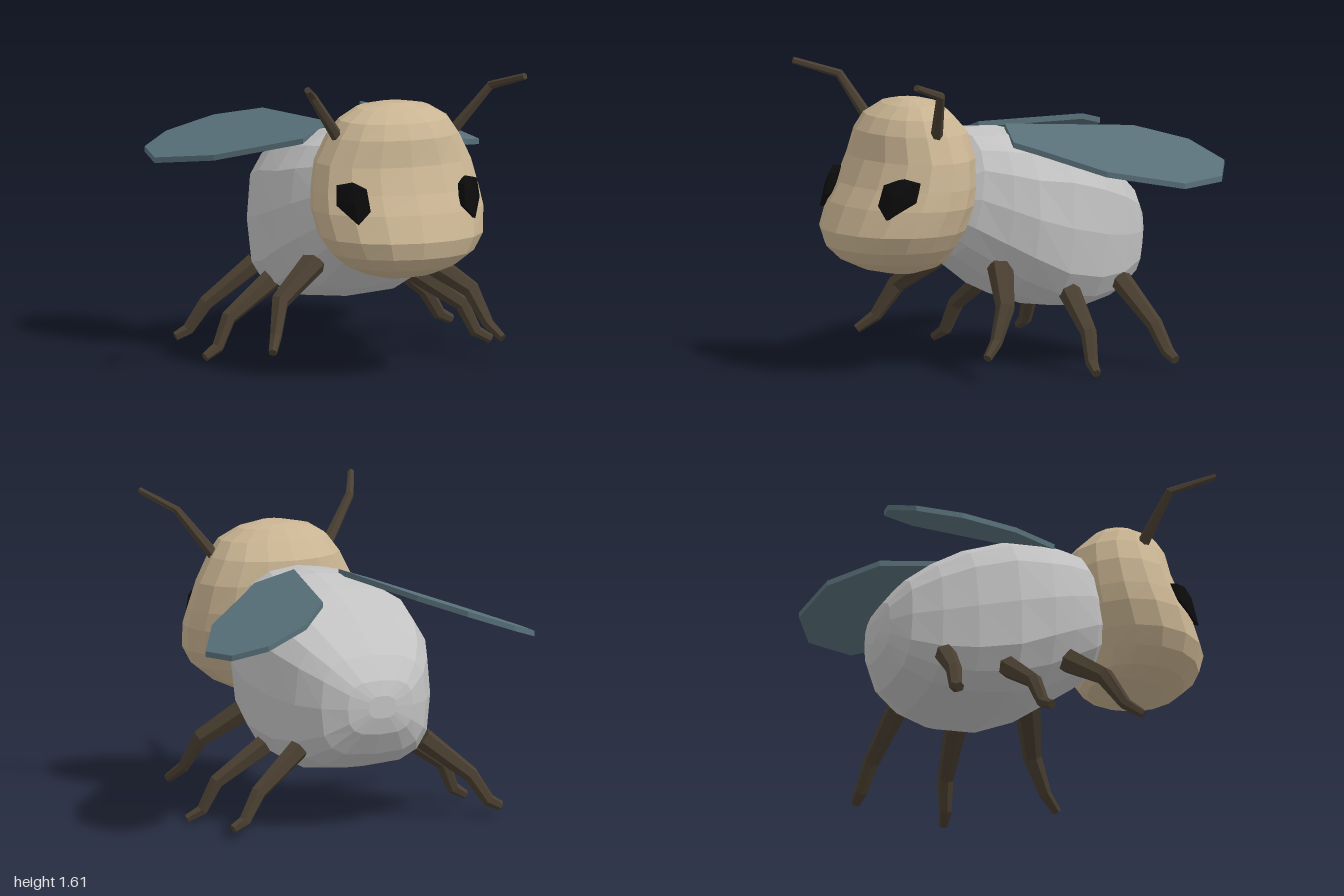
import * as THREE from 'three';
import { ConvexGeometry } from 'three/addons/geometries/ConvexGeometry.js';

const flat = (name, color) => {
  const m = new THREE.MeshStandardMaterial({ color, flatShading: true });
  m.name = name;
  return m;
};

// Closed skin through a list of rings (arrays of Vector3), capped at both ends
function loft(rings) {
  const n = rings[0].length, pos = [], idx = [];
  rings.forEach(r => r.forEach(p => pos.push(p.x, p.y, p.z)));
  const last = (rings.length - 1) * n, c0 = rings.length * n, c1 = c0 + 1;
  for (const r of [rings[0], rings[rings.length - 1]]) {
    const c = r.reduce((s, p) => s.add(p), new THREE.Vector3()).divideScalar(n);
    pos.push(c.x, c.y, c.z);
  }
  for (let j = 0; j < n; j++) {
    const k = (j + 1) % n;
    for (let i = 0; i < last; i += n) {
      idx.push(i + j, i + n + j, i + k, i + k, i + n + j, i + n + k);
    }
    idx.push(c0, j, k, c1, last + k, last + j);
  }
  const g = new THREE.BufferGeometry();
  g.setAttribute('position', new THREE.Float32BufferAttribute(pos, 3));
  g.setIndex(idx);
  g.computeVertexNormals();
  return g;
}

// Ring spanned by two points in the middle plane and a half width; a lower power is boxier
function section([zA, yA, zB, yB, hw, power = 0.95], sides = 16) {
  const soft = v => Math.sign(v) * Math.abs(v) ** power;
  return Array.from({ length: sides }, (_, j) => {
    const t = j / sides * Math.PI * 2, c = soft(Math.cos(t)) / 2;
    return new THREE.Vector3(hw * soft(Math.sin(t)),
      (yA + yB) / 2 + (yA - yB) * c, (zA + zB) / 2 + (zA - zB) * c);
  });
}

// Tapered, jointed limb along [x, y, z, radius] points
function limb(path, side, sides = 6) {
  const pts = path.map(p => new THREE.Vector3(p[0] * side, p[1], p[2]));
  const up = new THREE.Vector3(0, 1, 0);
  return loft(pts.map((p, i) => {
    const dir = pts[Math.min(i + 1, pts.length - 1)].clone().sub(pts[Math.max(i - 1, 0)]).normalize();
    // Downward limbs use a flipped base ring to keep the rings aligned
    const down = dir.y < 0;
    const q = new THREE.Quaternion().setFromUnitVectors(down ? up.clone().negate() : up, dir);
    return Array.from({ length: sides }, (_, j) => {
      const t = j / sides * Math.PI * 2 * (down ? -1 : 1);
      return new THREE.Vector3(Math.cos(t), 0, Math.sin(t)).multiplyScalar(path[i][3]).applyQuaternion(q).add(p);
    });
  }));
}

// Wing plate from an [x, z] outline, sloping down outwards and slightly forwards
function wing(outline, rootHeight) {
  const shape = new THREE.Shape(outline.map(([x, z]) => new THREE.Vector2(x, -z)));
  const g = new THREE.ExtrudeGeometry(shape, { depth: 0.03, bevelEnabled: false });
  g.rotateX(-Math.PI / 2);
  const p = g.attributes.position;
  for (let i = 0; i < p.count; i++) {
    p.setY(i, p.getY(i) - 0.03 + rootHeight - 0.35 * Math.abs(p.getX(i)) - 0.02 * p.getZ(i));
  }
  g.computeVertexNormals();
  return g;
}

export function createModel() {
  const group = new THREE.Group();
  const tan = flat('tan', 0xc9b492), grey = flat('grey', 0xc2c2c2);
  const brown = flat('darkBrown', 0x4a3f31), teal = flat('slateTeal', 0x587079);
  const black = flat('black', 0x0b0b0b);
  const add = (name, geometry, material) => {
    const m = new THREE.Mesh(geometry, material);
    m.name = name;
    m.position.x = -0.02;
    group.add(m);
  };

  // Body, from rump to neck: top z, y, bottom z, y, half width, power
  const body = [
    [-0.825, 0.74, -0.825, 0.62, 0.08, 0.75],
    [-0.80, 0.82, -0.80, 0.53, 0.19, 0.66],
    [-0.71, 0.94, -0.72, 0.41, 0.305, 0.62],
    [-0.58, 1.04, -0.57, 0.32, 0.395, 0.62],
    [-0.42, 1.13, -0.38, 0.28, 0.465, 0.63],
    [-0.20, 1.21, -0.15, 0.30, 0.505, 0.66],
    [0.00, 1.26, 0.05, 0.37, 0.485, 0.8],
    [0.12, 1.265, 0.19, 0.47, 0.43, 0.8],
    [0.24, 1.26, 0.36, 0.59, 0.345, 0.82],
    [0.32, 1.19, 0.41, 0.66, 0.29, 0.85],
  ];
  add('body', loft(body.map(r => section(r))), grey);

  // Head, from crown to chin: front z, y, back z, y, half width
  const head = [
    [0.60, 1.45, 0.46, 1.445, 0.08],
    [0.67, 1.42, 0.40, 1.43, 0.20],
    [0.75, 1.36, 0.34, 1.37, 0.30],
    [0.80, 1.28, 0.26, 1.28, 0.36],
    [0.82, 1.14, 0.24, 1.15, 0.43],
    [0.88, 1.00, 0.24, 1.00, 0.46],
    [0.94, 0.90, 0.25, 0.90, 0.47],
    [1.00, 0.76, 0.29, 0.77, 0.445],
    [0.98, 0.67, 0.34, 0.68, 0.39],
    [0.91, 0.60, 0.37, 0.60, 0.30],
    [0.80, 0.55, 0.40, 0.56, 0.20],
    [0.68, 0.525, 0.52, 0.52, 0.08],
  ];
  add('head', loft(head.map(r => section(r))), tan);

  const antenna = [[0.30, 1.24, 0.565, 0.032], [0.34, 1.30, 0.58, 0.032],
    [0.505, 1.525, 0.66, 0.024], [0.615, 1.60, 0.88, 0.018]];
  const legs = {
    FrontLeg: [[0.30, 0.55, 0.16, 0.07], [0.54, 0.37, 0.28, 0.05], [0.60, 0.20, 0.375, 0.033], [0.65, 0.13, 0.46, 0.024]],
    MiddleLeg: [[0.38, 0.42, -0.21, 0.062], [0.66, 0.22, -0.165, 0.043], [0.73, 0.07, -0.14, 0.034], [0.81, 0.025, -0.12, 0.024]],
    HindLeg: [[0.36, 0.44, -0.55, 0.058], [0.62, 0.23, -0.60, 0.043], [0.71, 0.09, -0.625, 0.035], [0.78, 0.055, -0.63, 0.026]],
  };
  const eye = [[0.33, 0.86, 0.89], [0.265, 0.93, 0.90], [0.275, 1.04, 0.87], [0.33, 1.07, 0.81],
    [0.395, 1.05, 0.745], [0.405, 0.95, 0.76], [0.34, 0.97, 0.855]];

  // Mirrored antennae, eyes and legs
  for (const [label, s] of [['left', 1], ['right', -1]]) {
    add(label + 'Antenna', limb(antenna, s), brown);
    const pts = eye.flatMap(([x, y, z]) => [
      new THREE.Vector3(s * x, y, z), new THREE.Vector3(s * (x - 0.015), y, z - 0.05)]);
    add(label + 'Eye', new ConvexGeometry(pts), black);
    for (const name in legs) add(label + name, limb(legs[name], s), brown);
  }

  // Wings, slightly different in sweep
  add('leftWing', wing([[0.12, 0.02], [0.32, 0.09], [0.42, 0.0], [0.72, -0.24], [0.925, -0.6],
    [0.89, -0.85], [0.73, -0.965], [0.48, -0.9], [0.28, -0.68]], 1.328), teal);
  add('rightWing', wing([[-0.14, 0.02], [-0.22, 0.025], [-0.33, 0.075], [-0.70, -0.28], [-0.89, -0.65],
    [-0.85, -0.9], [-0.69, -1.0], [-0.45, -0.93], [-0.26, -0.7]], 1.315), teal);

  return group;
}
